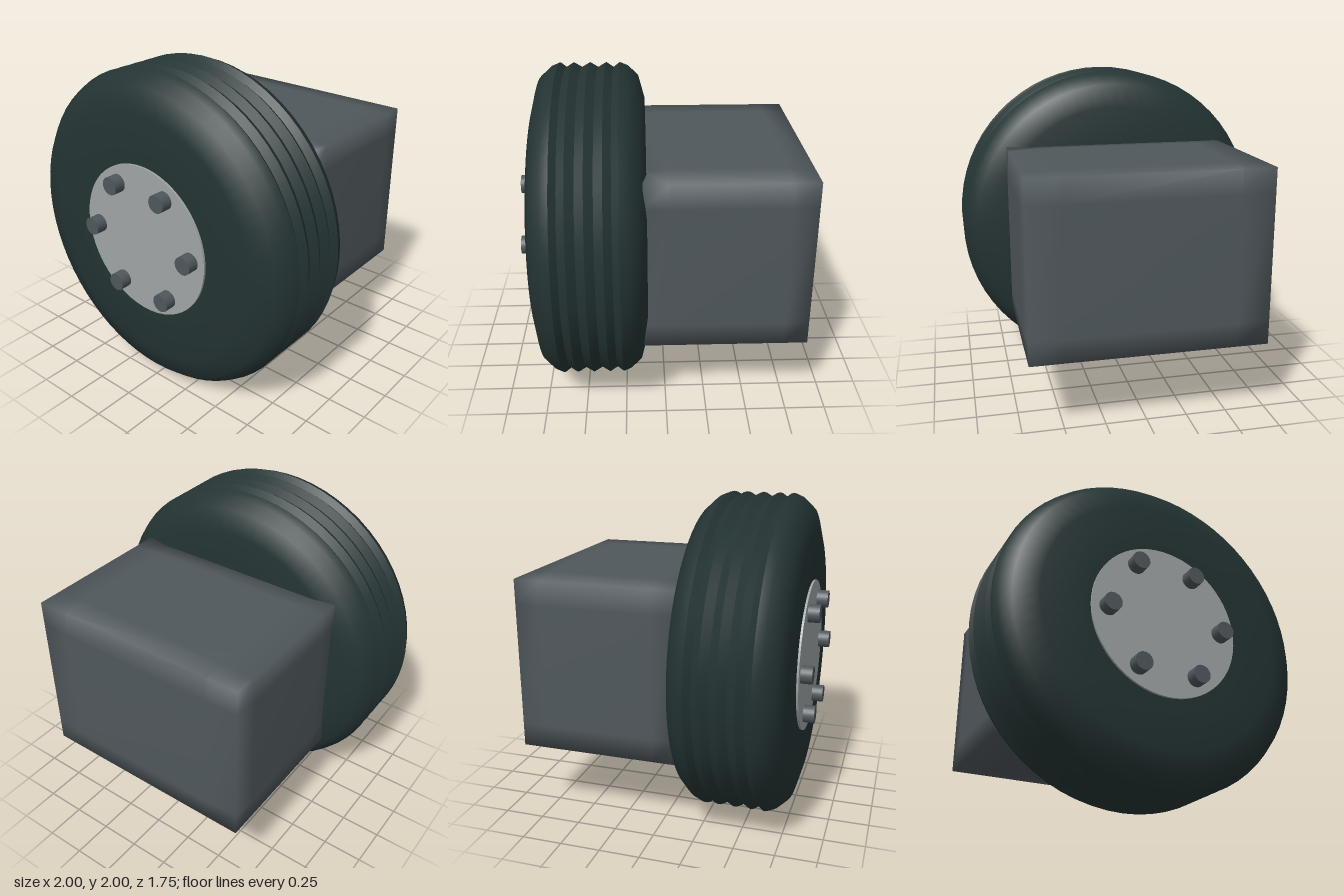
import * as THREE from 'three';
import { mergeVertices, toCreasedNormals } from 'three/addons/utils/BufferGeometryUtils.js';

const material = (name, color) => {
  const m = new THREE.MeshStandardMaterial({ color });
  m.name = name;
  return m;
};

// Box whose faces swell slightly inside a border strip, with smooth normals.
function pillowBox(size, inset, bulge) {
  let geo = new THREE.BoxGeometry(2, 2, 2, 3, 3, 3);
  geo.deleteAttribute('normal');
  geo.deleteAttribute('uv');
  geo = mergeVertices(geo);
  const p = geo.attributes.position;
  for (let i = 0; i < p.count; i++) {
    const v = [p.getX(i), p.getY(i), p.getZ(i)];
    const outer = v.map((c) => Math.abs(c) > 0.9);
    const onEdge = outer.filter(Boolean).length > 1;
    const q = v.map((c, k) => Math.sign(c) * (size[k] / 2 - (outer[k] ? (onEdge ? bulge : 0) : inset[k])));
    p.setXYZ(i, ...q);
  }
  geo.computeVertexNormals();
  return geo;
}

// Cylinder lying along z between two depths.
function disc(radius, z0, z1, sides) {
  return new THREE.CylinderGeometry(radius, radius, z1 - z0, sides)
    .rotateX(Math.PI / 2)
    .translate(0, 0, (z0 + z1) / 2);
}

export function createModel() {
  const rubber = material('dark rubber', 0x243333);
  const steel = material('dark steel', 0x50585c);
  const hubMetal = material('light metal', 0xa0a5a6);

  const model = new THREE.Group();
  model.name = 'wheelUnit';
  const add = (name, geo, mat, parent = model) => {
    const mesh = new THREE.Mesh(geo, mat);
    mesh.name = name;
    parent.add(mesh);
    return mesh;
  };

  // Tyre: half profile as [radius, offset from mid-plane], mirrored across it
  const half = [[0, 0.34], [0.5, 0.34], [0.78, 0.34], [0.92, 0.302], [0.98, 0.237],
    [1, 0.187], [0.97, 0.148], [1, 0.102], [0.97, 0.051]];
  const profile = [
    ...half.map(([r, d]) => new THREE.Vector2(r, -d)),
    new THREE.Vector2(1, 0),
    ...half.slice().reverse().map(([r, d]) => new THREE.Vector2(r, d)),
  ];
  const tyre = toCreasedNormals(new THREE.LatheGeometry(profile, 64), 0.7);
  add('tyre', tyre.rotateX(Math.PI / 2), rubber).position.set(0, 1, 0.45);

  // Hub plate
  add('hubPlate', disc(0.475, 0.7, 0.803, 64), hubMetal).position.y = 1;

  // Ring of six wheel bolts
  const bolts = new THREE.Group();
  bolts.name = 'wheelBolts';
  model.add(bolts);
  const boltGeo = disc(0.055, 0.75, 0.873, 24);
  for (let i = 0; i < 6; i++) {
    const a = (i * Math.PI) / 3;
    add('bolt', boltGeo, steel, bolts).position.set(0.373 * Math.cos(a), 1 + 0.373 * Math.sin(a), 0);
  }

  // Housing block behind the wheel
  add('housing', pillowBox([1.44, 1.085, 1.015], [0.21, 0.16, 0.16], 0.011), steel)
    .position.set(0, 1.002, -0.365);

  return model;
}
